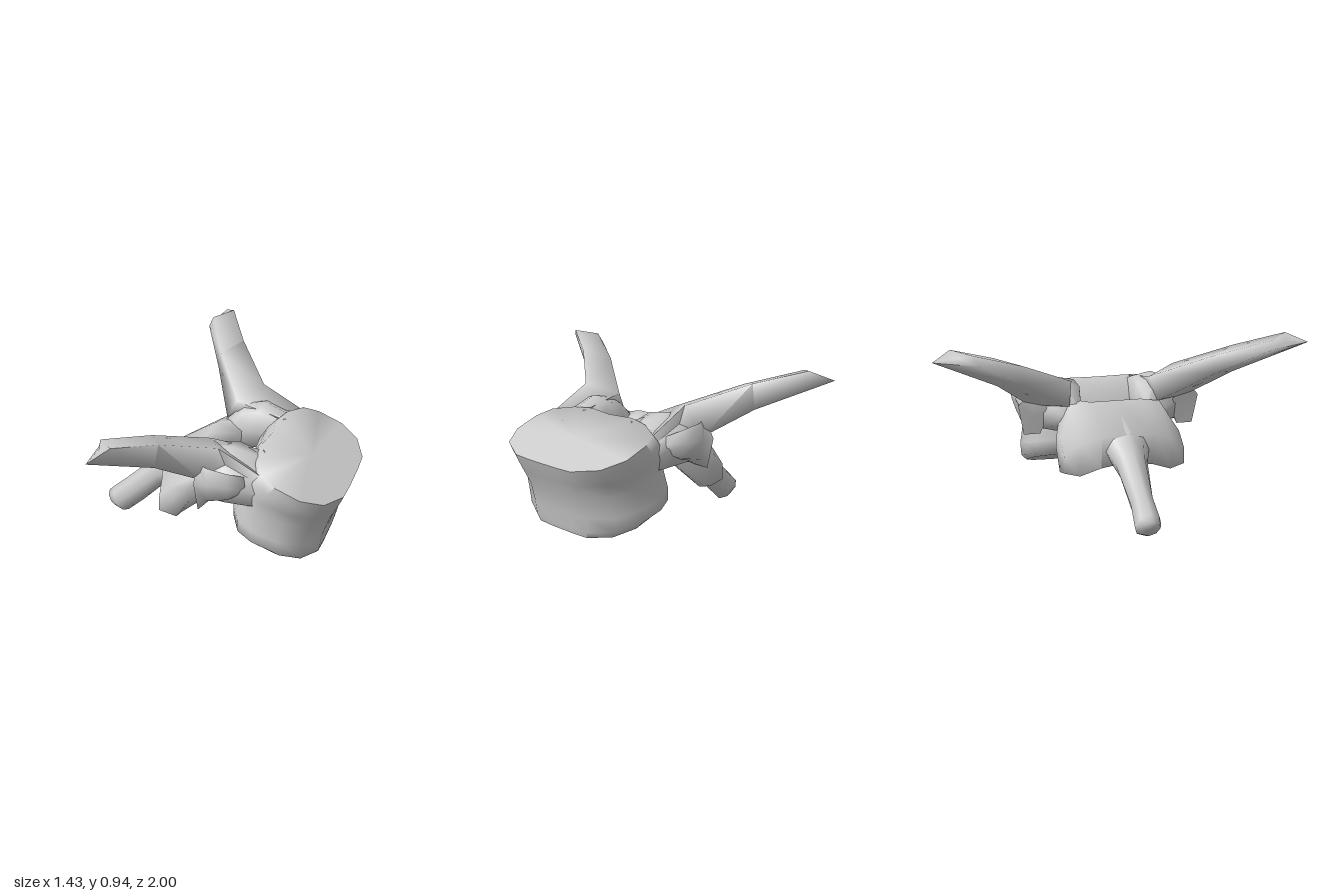
import * as THREE from 'three';
import { toCreasedNormals } from 'three/addons/utils/BufferGeometryUtils.js';

const material = new THREE.MeshStandardMaterial({ color: 0xcccccc });

// Closed skin over a list of rings (each a list of [x, y, z]), capped at both ends.
function loft(rings, crease = 1.5) {
  const n = rings[0].length;
  const pos = rings.flat(2);
  const index = [];
  for (let r = 0; r < rings.length - 1; r++) {
    for (let i = 0; i < n; i++) {
      const a = r * n + i, b = r * n + (i + 1) % n;
      index.push(a, b, b + n, a, b + n, a + n);
    }
  }
  const cap = (ring, start, flip) => {
    const centre = pos.length / 3;
    for (let k = 0; k < 3; k++) pos.push(ring.reduce((s, p) => s + p[k], 0) / n);
    for (let i = 0; i < n; i++) {
      const a = start + i, b = start + (i + 1) % n;
      if (flip) index.push(centre, b, a); else index.push(centre, a, b);
    }
  };
  cap(rings[0], 0, true);
  cap(rings[rings.length - 1], (rings.length - 1) * n, false);

  // Signed volume decides whether the skin must be turned outward.
  const v = (i) => new THREE.Vector3().fromArray(pos, i * 3);
  let volume = 0;
  for (let i = 0; i < index.length; i += 3) {
    volume += v(index[i]).dot(v(index[i + 1]).cross(v(index[i + 2])));
  }
  if (volume < 0) index.reverse();

  const g = new THREE.BufferGeometry();
  g.setAttribute('position', new THREE.Float32BufferAttribute(pos, 3));
  g.setIndex(index);
  return toCreasedNormals(g, crease);
}

export function createModel() {
  const group = new THREE.Group();
  const add = (name, geometry) => {
    const mesh = new THREE.Mesh(geometry, material);
    mesh.name = name;
    group.add(mesh);
  };

  // Vertebral body: a kidney-shaped plan swept through tilted levels with a waist.
  const half = [[1, 0.1], [0.99, 0.22], [0.85, 0.37], [0.62, 0.44], [0.34, 0.44],
    [0.17, 0.40], [0.05, 0.28], [0, 0.16]];
  const plan = [[1, 0], ...half, [0.03, 0],
    ...half.slice().reverse().map(([u, z]) => [u, -z])];
  const levels = [ // back x, back y, front x, front y, width
    [0.14, 0.25, 0.585, 0.09, 0.86],
    [0.105, 0.275, 0.595, 0.125, 0.93],
    [0.105, 0.34, 0.605, 0.2, 0.94],
    [0.115, 0.43, 0.64, 0.31, 0.89],
    [0.14, 0.52, 0.675, 0.385, 0.96],
    [0.19, 0.60, 0.70, 0.44, 1],
    [0.24, 0.655, 0.712, 0.47, 1],
  ];
  add('vertebralBody', loft(levels.map(([bx, by, fx, fy, w]) =>
    plan.map(([u, z]) => [bx + (fx - bx) * u, by + (fy - by) * u, z * w]))));

  // Lamina: xy outlines stepped across z, closing the canal at the rear.
  const laminaHalf = [
    [0.33, [[-0.265, 0.35], [-0.19, 0.42], [-0.11, 0.43], [-0.09, 0.36], [-0.17, 0.24], [-0.27, 0.26]]],
    [0.25, [[-0.28, 0.41], [-0.09, 0.57], [0.08, 0.58], [0.06, 0.42], [-0.17, 0.22], [-0.28, 0.24]]],
    [0.14, [[-0.32, 0.45], [-0.10, 0.59], [0.03, 0.54], [0.03, 0.43], [-0.15, 0.28], [-0.30, 0.28]]],
    [0, [[-0.33, 0.46], [-0.10, 0.59], [-0.03, 0.52], [-0.06, 0.44], [-0.20, 0.34], [-0.30, 0.30]]],
  ];
  const laminaSections = [...laminaHalf,
    ...laminaHalf.slice(0, 3).reverse().map(([z, p]) => [-z, p])];
  add('lamina', loft(laminaSections.map(([z, p]) => p.map(([x, y]) => [x, y, z]))));

  // Spinous process: eight-sided sections given by top point, bottom point and half width.
  const spine = [
    [-0.16, 0.555, -0.2, 0.36, 0.15],
    [-0.32, 0.47, -0.29, 0.275, 0.12],
    [-0.40, 0.40, -0.37, 0.22, 0.085],
    [-0.60, 0.215, -0.50, 0.09, 0.06],
    [-0.685, 0.14, -0.60, 0.0, 0.07],
    [-0.715, 0.11, -0.66, 0.02, 0.05],
  ];
  add('spinousProcess', loft(spine.map(([tx, ty, bx, by, w]) =>
    Array.from({ length: 8 }, (_, i) => {
      const a = i * Math.PI / 4, t = (1 - Math.cos(a)) / 2;
      return [tx + (bx - tx) * t, ty + (by - ty) * t, w * Math.sin(a)];
    }))));

  // Paired parts
  for (const s of [1, -1]) {
    const side = s > 0 ? 'left' : 'right';
    const mirror = (ring) => ring.map(([x, y, z]) => [x, y, z * s]);

    // Pedicle: bridge from the lamina into the body, beside the canal.
    const pedicle = [ // x, bottom, top, inner z, outer z
      [-0.07, 0.43, 0.58, 0.18, 0.30],
      [0.03, 0.41, 0.67, 0.155, 0.42],
      [0.13, 0.42, 0.69, 0.16, 0.45],
      [0.24, 0.40, 0.655, 0.16, 0.415],
      [0.42, 0.40, 0.56, 0.17, 0.39],
    ];
    add(side + 'Pedicle', loft(pedicle.map(([x, b, t, i, o]) => {
      const m = (b + t) / 2, c = (i + o) / 2;
      return mirror([[x, b, c], [x, b + 0.04, i], [x, m, i], [x, t - 0.02, i + 0.01],
        [x, t, c - 0.03], [x, t - 0.06, o - 0.02], [x, m, o], [x, b + 0.03, o - 0.02]]);
    })));

    // Transverse process: long tapering arm with an obliquely cut tip.
    add(side + 'TransverseProcess', loft([
      [[0.36, 0.59, 0.39], [0.27, 0.645, 0.18], [0.12, 0.50, 0.20], [0.2, 0.46, 0.39]],
      [[0.09, 0.735, 0.39], [-0.01, 0.69, 0.22], [-0.08, 0.57, 0.25], [0.02, 0.57, 0.45]],
      [[-0.12, 0.86, 0.66], [-0.21, 0.825, 0.52], [-0.23, 0.735, 0.53], [-0.15, 0.72, 0.65]],
      [[-0.26, 0.94, 0.90], [-0.355, 0.92, 0.80], [-0.375, 0.87, 0.78], [-0.34, 0.895, 1.0]],
    ].map(mirror), 1.9));

    // Articular facet: a small thin-edged wing fading forward along the pedicle.
    add(side + 'ArticularFacet', loft([
      [[-0.02, 0.66, 0.43], [0, 0.57, 0.51], [0.01, 0.41, 0.48], [0.01, 0.41, 0.39], [-0.01, 0.53, 0.34]],
      [[0.05, 0.65, 0.46], [0.06, 0.57, 0.495], [0.05, 0.46, 0.465], [0.05, 0.43, 0.39], [0.05, 0.53, 0.34]],
      [[0.16, 0.63, 0.45], [0.17, 0.57, 0.49], [0.16, 0.48, 0.45], [0.15, 0.46, 0.39], [0.15, 0.53, 0.34]],
      [[0.23, 0.60, 0.40], [0.24, 0.56, 0.415], [0.23, 0.51, 0.40], [0.22, 0.50, 0.37], [0.22, 0.54, 0.34]],
    ].map(mirror)));
  }
  return group;
}
